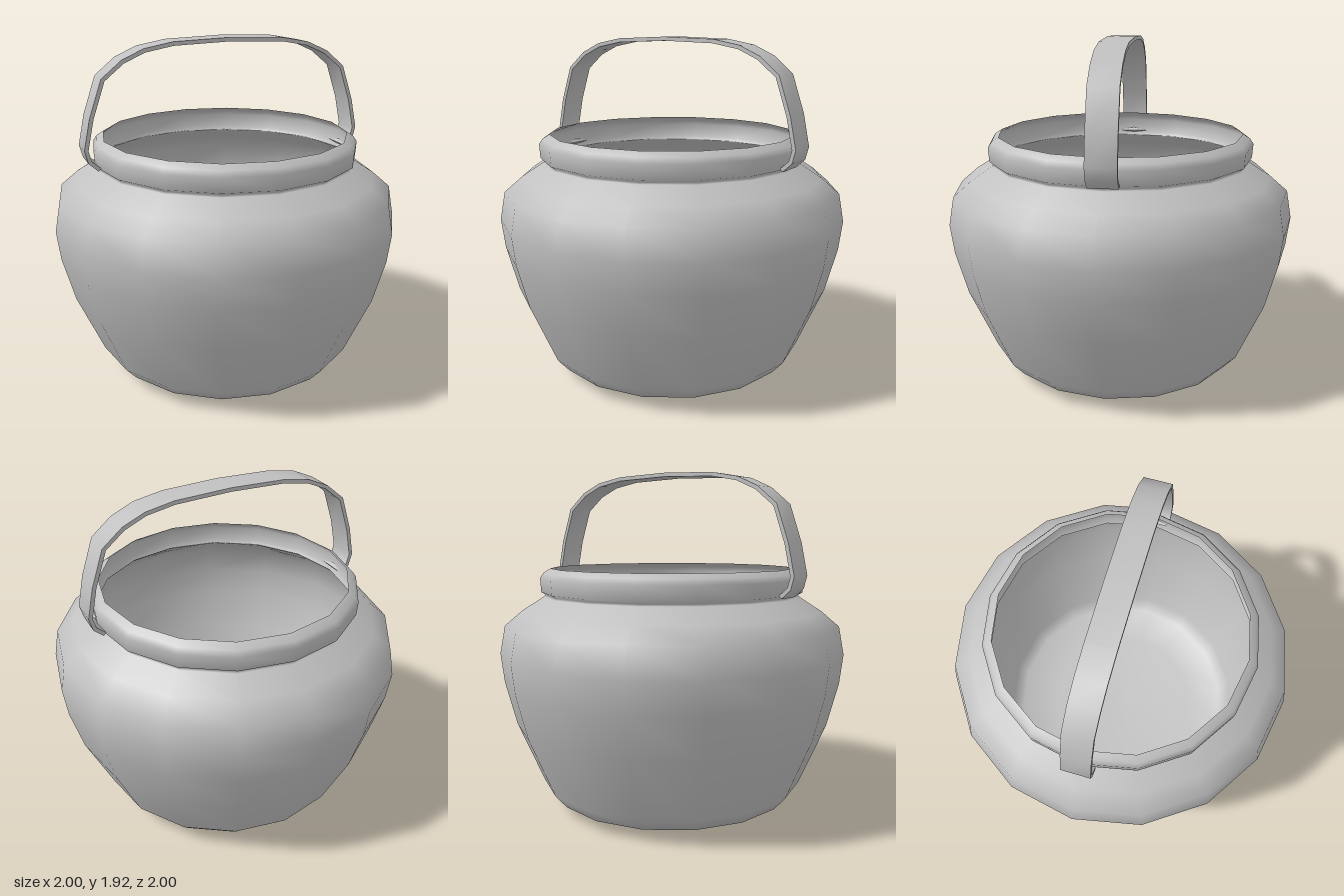
import * as THREE from 'three';
import { toCreasedNormals } from 'three/addons/utils/BufferGeometryUtils.js';

const v2 = ([x, y]) => new THREE.Vector2(x, y);

export function createModel() {
  const group = new THREE.Group();
  const iron = new THREE.MeshStandardMaterial({ color: 0xc0c0c0, side: THREE.DoubleSide });
  iron.name = 'grey metal';

  // Thin-walled pot: rounded foot, swelling belly, pinched neck and upright rim
  const profile = [
    [0, 0], [0.46, 0.015], [0.7, 0.055], [0.765, 0.13], [0.915, 0.48], [0.98, 0.73],
    [1, 0.9], [0.97, 1.06], [0.87, 1.145], [0.745, 1.225], [0.735, 1.235],
    [0.76, 1.25], [0.765, 1.33], [0.745, 1.36], [0.705, 1.385],
  ].map(v2);
  const pot = new THREE.Mesh(new THREE.LatheGeometry(profile, 16), iron);
  pot.name = 'pot';
  group.add(pot);

  // Flat strap handle: centre line of one half, mirrored, then thickened
  const half = [
    [0.75, 1.25], [0.8, 1.295], [0.817, 1.36], [0.78, 1.53], [0.71, 1.73],
    [0.6, 1.82], [0.48, 1.873], [0.32, 1.902],
  ];
  const path = [...half, [0, 1.913], ...half.map(([x, y]) => [-x, y]).reverse()].map(v2);
  const offset = (d) => path.map((p, i) => {
    const a = path[Math.max(i - 1, 0)], b = path[Math.min(i + 1, path.length - 1)];
    const t = b.clone().sub(a).normalize();
    return new THREE.Vector2(p.x + t.y * d, p.y - t.x * d);
  });
  const outline = new THREE.Shape([...offset(0.011), ...offset(-0.011).reverse()]);
  const strap = new THREE.ExtrudeGeometry(outline, { depth: 0.16, bevelEnabled: false });
  strap.translate(0, 0, -0.085);
  const handle = new THREE.Mesh(toCreasedNormals(strap, 0.9), iron);
  handle.name = 'handle';
  group.add(handle);

  return group;
}
